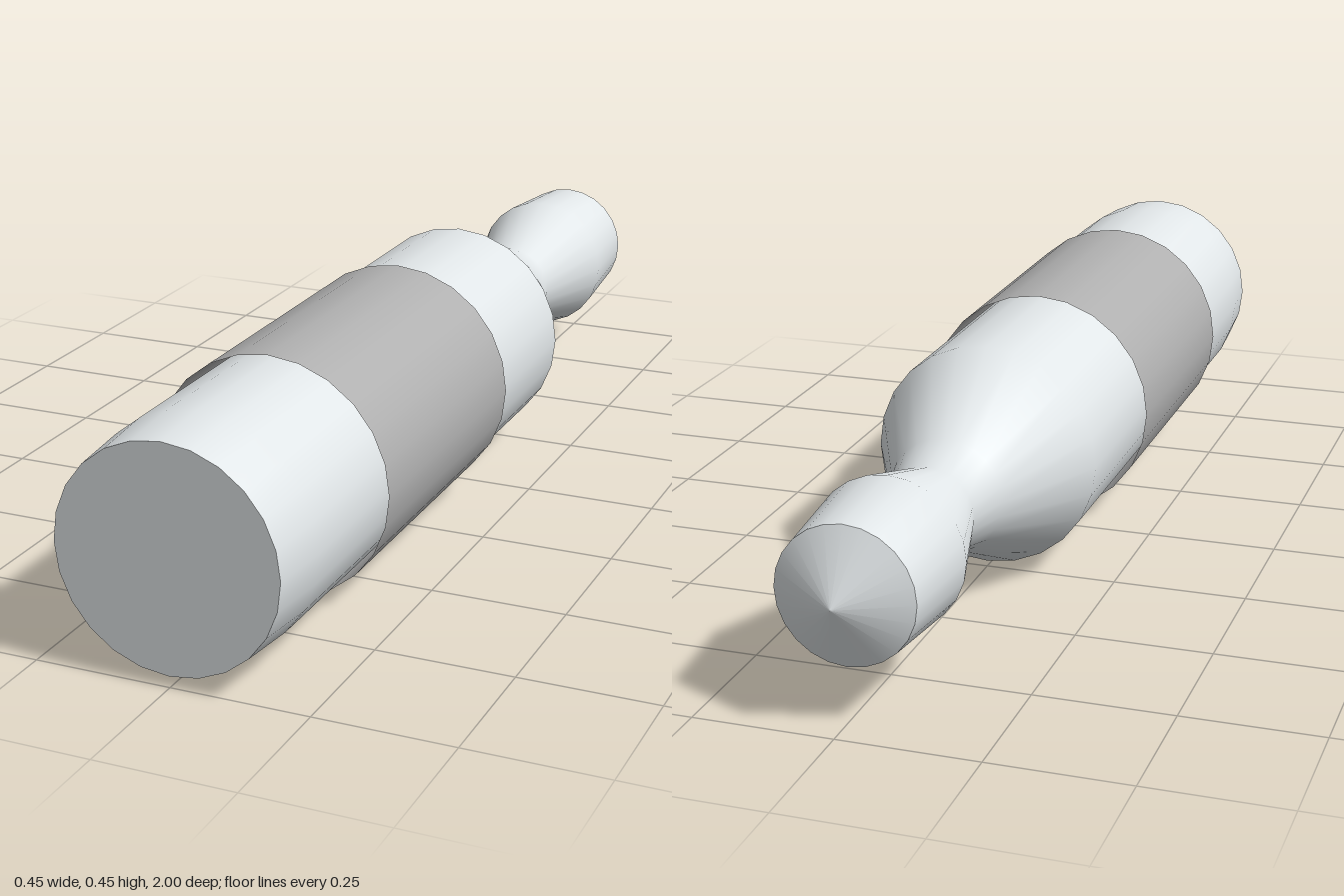
import * as THREE from 'three';

const SIDES = 24;
const AXIS_HEIGHT = 0.223;

// Revolves [radius, z] pairs, ordered from back to front, around the z axis.
function turned(name, profile, material) {
  const points = profile.map(([r, z]) => new THREE.Vector2(r, z));
  const geometry = new THREE.LatheGeometry(points, SIDES);
  geometry.rotateX(Math.PI / 2);
  geometry.translate(0, AXIS_HEIGHT, 0);
  const mesh = new THREE.Mesh(geometry, material);
  mesh.name = name;
  return mesh;
}

export function createModel() {
  const group = new THREE.Group();
  group.name = 'turnedPin';

  const metal = new THREE.MeshStandardMaterial({ color: 0xe1e6e8 });
  const band = new THREE.MeshStandardMaterial({ color: 0xb0b0b0, side: THREE.DoubleSide });

  group.add(
    // Shaft with a tapered shoulder, narrow neck and flared head
    turned('shaft', [
      [0.123, -0.94],
      [0.138, -0.75],
      [0.085, -0.56],
      [0.107, -0.47],
      [0.212, -0.25],
      [0.212, 0.88],
      [0.203, 1],
    ], metal),
    // Shallow cone closing the head
    turned('tip', [[0, -1], [0.123, -0.94]], metal),
    // Flat disc closing the thick end
    turned('endFace', [[0.203, 1], [0, 1]], metal),
    // Thin open sleeve around the shaft
    turned('sleeve', [[0.223, 0.065], [0.223, 0.625]], band),
  );
  return group;
}
